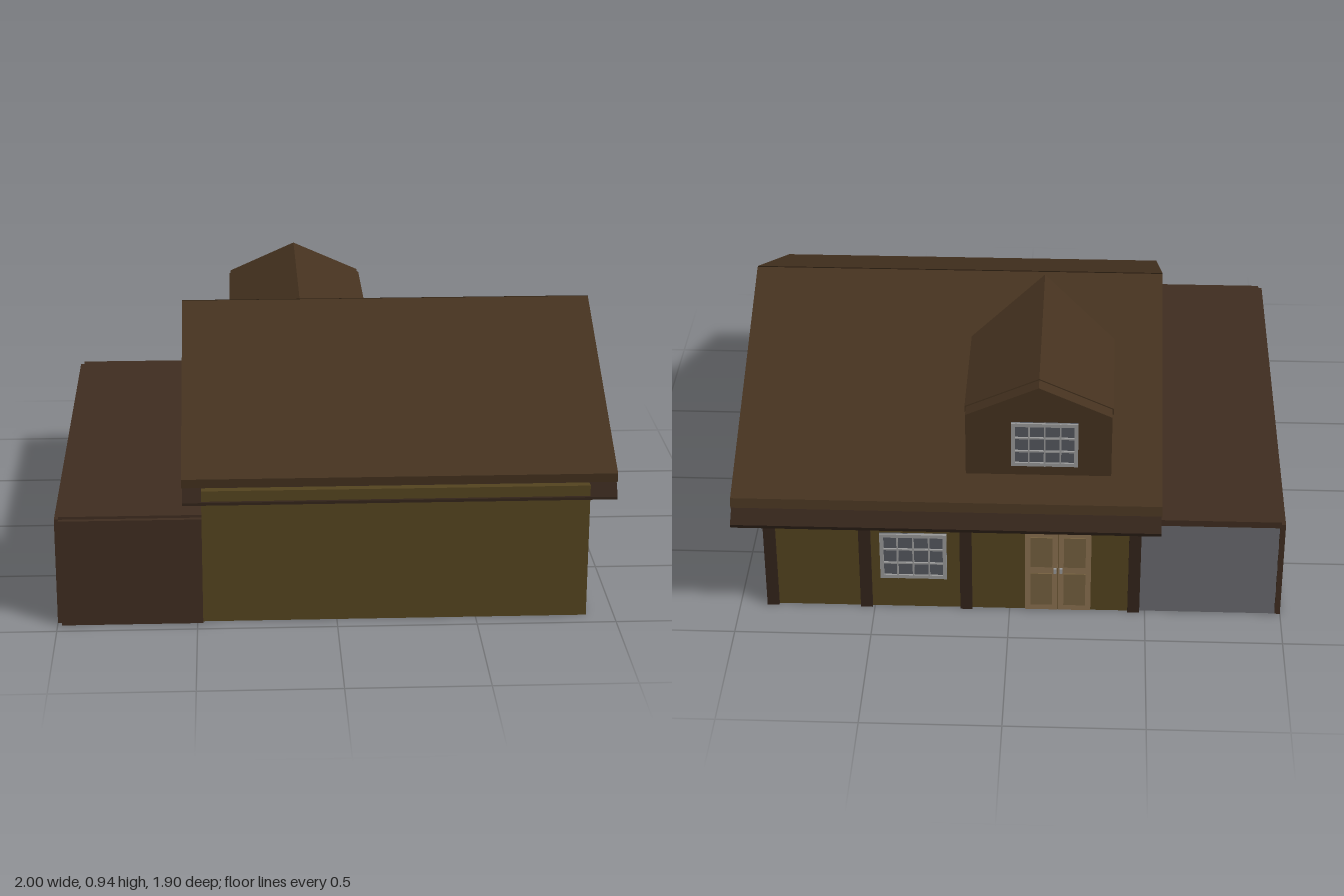
import * as THREE from 'three';

const mat = (color) => new THREE.MeshStandardMaterial({ color, flatShading: true, side: THREE.DoubleSide });
const WALL = mat(0x54441f), ROOF = mat(0x45321f), TRIM = mat(0x33241a), GARAGE = mat(0x3f2d20);
const DOOR = mat(0x8a7050), PANEL = mat(0x75603f), METAL = mat(0x5c5c60), FRAME = mat(0x9a9a9a), GLASS = mat(0x55585f);

function shapeOf(points) {
  return new THREE.Shape(points.map(([x, y]) => new THREE.Vector2(x, y)));
}

function add(parent, name, geometry, material) {
  const mesh = new THREE.Mesh(geometry, material);
  mesh.name = name;
  parent.add(mesh);
  return mesh;
}

// Box given by its limits on each axis
function box(parent, name, material, x0, x1, y0, y1, z0, z1) {
  const mesh = add(parent, name, new THREE.BoxGeometry(x1 - x0, y1 - y0, z1 - z0), material);
  mesh.position.set((x0 + x1) / 2, (y0 + y1) / 2, (z0 + z1) / 2);
  return mesh;
}

// Side profile of [z, y] points, extruded from x0 to x1
function alongX(parent, name, material, points, x0, x1) {
  const g = new THREE.ExtrudeGeometry(shapeOf(points), { depth: x1 - x0, bevelEnabled: false });
  g.rotateY(-Math.PI / 2).translate(x1, 0, 0);
  return add(parent, name, g, material);
}

// Front profile of [x, y] points, extruded from z0 to z1
function alongZ(parent, name, material, points, z0, z1) {
  const g = new THREE.ExtrudeGeometry(shapeOf(points), { depth: z1 - z0, bevelEnabled: false });
  g.translate(0, 0, z0);
  return add(parent, name, g, material);
}

// Barred window whose outer face looks towards -z
function makeWindow(parent, name, x0, x1, y0, y1, z) {
  const g = new THREE.Group();
  g.name = name;
  parent.add(g);
  box(g, 'windowGlass', GLASS, x0, x1, y0, y1, z - 0.004, z + 0.01);
  const cols = 4, rows = 3;
  for (let i = 0; i <= cols; i++) {
    const w = i % cols ? 0.003 : 0.007;
    const x = THREE.MathUtils.lerp(x0 + 0.007, x1 - 0.007, i / cols);
    box(g, 'windowBar', FRAME, x - w, x + w, y0, y1, z - 0.012, z);
  }
  for (let j = 0; j <= rows; j++) {
    const w = j % rows ? 0.003 : 0.007;
    const y = THREE.MathUtils.lerp(y0 + 0.007, y1 - 0.007, j / rows);
    box(g, 'windowBar', FRAME, x0, x1, y - w, y + w, z - 0.011, z);
  }
}

export function createModel() {
  const model = new THREE.Group();
  model.name = 'house';

  // Main walls with gable ends
  alongX(model, 'houseWalls', WALL,
    [[-0.82, 0], [0.935, 0], [0.935, 0.5], [0.9, 0.5], [0.06, 0.87], [-0.82, 0.47]], -0.48, 0.9);

  // Two-layer roof slopes with an open joint at the ridge
  const rx0 = -0.55, rx1 = 1.0;
  alongX(model, 'frontRoof', ROOF, [[0.067, 0.94], [0.91, 0.535], [0.907, 0.502], [0.085, 0.895]], rx0, rx1);
  alongX(model, 'frontRoofUnderlayer', TRIM,
    [[0.085, 0.895], [0.9, 0.505], [0.938, 0.457], [0.938, 0.447], [0.095, 0.865]], rx0 + 0.003, rx1 - 0.003);
  alongX(model, 'backRoof', ROOF, [[0.06, 0.94], [-0.89, 0.515], [-0.9, 0.478], [0.045, 0.9]], rx0, rx1);
  alongX(model, 'backRoofUnderlayer', TRIM,
    [[0.045, 0.9], [-0.9, 0.48], [-0.95, 0.44], [-0.945, 0.425], [0.038, 0.865]], rx0 + 0.003, rx1 - 0.003);

  // Timber posts on the entrance side
  for (const x of [0.878, 0.53, 0.16, -0.458]) {
    box(model, 'wallPost', TRIM, x - 0.022, x + 0.022, 0, 0.46, -0.832, -0.81);
  }
  makeWindow(model, 'houseWindow', 0.23, 0.475, 0.135, 0.33, -0.822);

  // Entrance door: two leaves with raised panels
  const door = new THREE.Group();
  door.name = 'entranceDoor';
  model.add(door);
  for (const s of [-1, 1]) {
    const c = -0.178 + s * 0.061;
    box(door, 'doorLeaf', DOOR, c - 0.06, c + 0.06, 0.005, 0.355, -0.83, -0.81);
    for (const [y0, y1] of [[0.03, 0.17], [0.2, 0.33]]) {
      box(door, 'doorPanel', PANEL, c - 0.04, c + 0.04, y0, y1, -0.835, -0.82);
    }
    box(door, 'doorHandle', FRAME, c - s * 0.05 - 0.005, c - s * 0.05 + 0.005, 0.175, 0.195, -0.84, -0.82);
  }

  // Garage: open underneath, with thin walls and a flat roof
  const garage = new THREE.Group();
  garage.name = 'garage';
  model.add(garage);
  box(garage, 'garageSideWall', GARAGE, -1, -0.98, 0, 0.4, -0.82, 0.93);
  box(garage, 'garageFrontWall', GARAGE, -0.985, -0.48, 0, 0.4, 0.93, 0.95);
  box(garage, 'garageRoof', GARAGE, -0.985, -0.48, 0.385, 0.41, -0.82, 0.932);

  // Slatted garage door, a saw-tooth profile
  const slats = 8, h = 0.385 / slats;
  const profile = [[-0.795, 0.385], [-0.795, 0]];
  for (let i = 0; i < slats; i++) {
    profile.push([-0.818, i * h], [-0.805, (i + 0.85) * h]);
  }
  profile.push([-0.805, 0.385]);
  alongX(garage, 'garageDoor', METAL, profile, -0.98, -0.48);

  // Dormer on the back slope; its walls run into the roof
  const dormer = new THREE.Group();
  dormer.name = 'dormer';
  model.add(dormer);
  const cx = -0.103, half = 0.262;
  const slope = (0.51 - 0.94) / 0.95;
  const roofZ = (y) => 0.06 + (y - 0.94) / -slope;
  alongZ(dormer, 'dormerGable', ROOF,
    [[cx - half, 0.56], [cx + half, 0.56], [cx + half, 0.815], [cx, 0.932], [cx - half, 0.815]], -0.775, -0.715);
  for (const s of [-1, 1]) {
    alongX(dormer, 'dormerCheek', ROOF,
      [[-0.775, 0.55], [roofZ(0.55), 0.55], [roofZ(0.81), 0.81], [-0.775, 0.81]],
      cx + s * (half - 0.012) - 0.011, cx + s * (half - 0.012) + 0.011);
    // Roof slope, cut diagonally where it meets the main roof
    const e = cx + s * (half + 0.005);
    const top = [[cx, 0.937, -0.72], [e, 0.818, -0.72], [e, 0.818, roofZ(0.81)], [cx, 0.937, 0.045]];
    const low = top.map(([x, y, z]) => [x, y - 0.025, z]);
    const g = new THREE.BufferGeometry();
    g.setAttribute('position', new THREE.Float32BufferAttribute([...top, ...low].flat(), 3));
    const index = [0, 3, 2, 0, 2, 1, 4, 5, 6, 4, 6, 7];
    for (let i = 0; i < 4; i++) {
      const j = (i + 1) % 4;
      index.push(i, j, j + 4, i, j + 4, i + 4);
    }
    if (s < 0) index.reverse();
    g.setIndex(index);
    const flat = g.toNonIndexed();
    flat.computeVertexNormals();
    add(dormer, 'dormerRoof', flat, ROOF);
  }
  makeWindow(dormer, 'dormerWindow', -0.245, -0.005, 0.61, 0.79, -0.776);

  return model;
}
